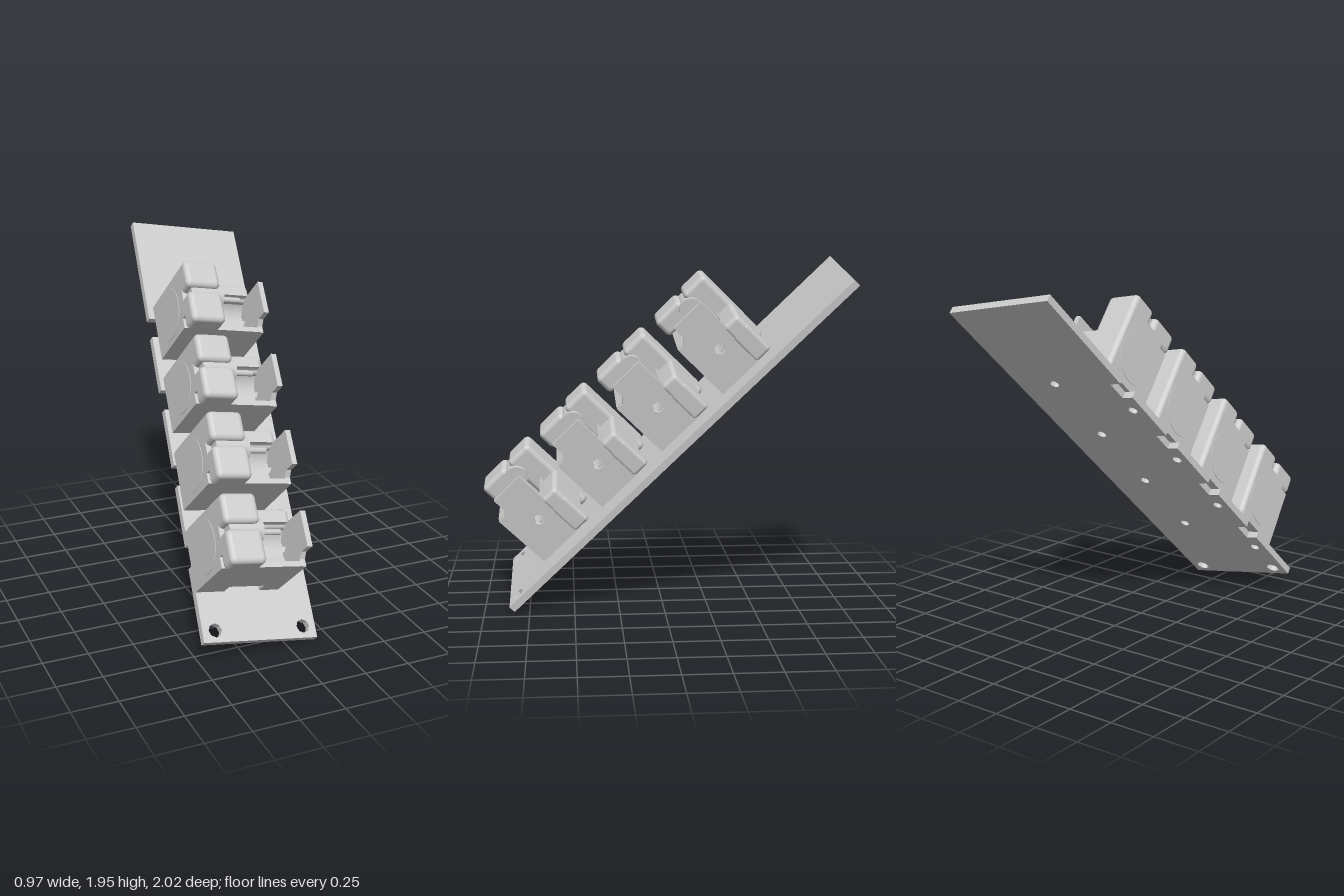
import * as THREE from 'three';
import { RoundedBoxGeometry } from 'three/addons/geometries/RoundedBoxGeometry.js';
import { toCreasedNormals } from 'three/addons/utils/BufferGeometryUtils.js';

const grey = new THREE.MeshStandardMaterial({ color: 0xcccccc });
const WIDTH = 0.664, LENGTH = 2.6, THICK = 0.04, PITCH = 0.465, COUNT = 4, DRIFT = 0.012;

// Local axes: x across the plate, y along it, z out of its face.
function add(parent, name, geometry) {
  const mesh = new THREE.Mesh(geometry, grey);
  mesh.name = name;
  parent.add(mesh);
  return mesh;
}

function roundedBlock(parent, name, [x0, x1], [y0, y1], [z0, z1], r) {
  const g = new RoundedBoxGeometry(x1 - x0, y1 - y0, z1 - z0, 3, r);
  g.translate((x0 + x1) / 2, (y0 + y1) / 2, (z0 + z1) / 2);
  return add(parent, name, g);
}

// Extrudes a (y, z) profile across x.
const acrossX = new THREE.Matrix4().makeBasis(
  new THREE.Vector3(0, 1, 0), new THREE.Vector3(0, 0, 1), new THREE.Vector3(1, 0, 0));
function slab(parent, name, shape, x0, x1) {
  let g = new THREE.ExtrudeGeometry(shape, { depth: x1 - x0, bevelEnabled: false, curveSegments: 16 });
  g = toCreasedNormals(g, 0.6);
  g.applyMatrix4(acrossX).translate(x0, 0, 0);
  return add(parent, name, g);
}

// Cylinder lying across x.
function rod(parent, name, r, x0, x1, y, z, sides) {
  const g = new THREE.CylinderGeometry(r, r, x1 - x0, sides);
  g.rotateZ(Math.PI / 2).translate((x0 + x1) / 2, y, z);
  return add(parent, name, g);
}

function hole(shape, x, y, r, sides = 8) {
  const path = new THREE.Path();
  for (let i = 0; i <= sides; i++) {
    const a = -i / sides * 2 * Math.PI;
    const px = x + r * Math.cos(a), py = y + r * Math.sin(a);
    if (i) path.lineTo(px, py); else path.moveTo(px, py);
  }
  shape.holes.push(path);
}

function polygon(points) {
  return new THREE.Shape(points.map(([x, y]) => new THREE.Vector2(x, y)));
}

// Body section with a round pocket; the floor can be raised for the tunnel.
function cradleProfile(floor) {
  const s = new THREE.Shape();
  s.moveTo(0.02, floor);
  s.lineTo(0.38, floor);
  s.lineTo(0.38, 0.24);
  s.lineTo(0.29, 0.24);
  s.lineTo(0.29, 0.3);
  s.absarc(0.17, 0.3, 0.12, 0, Math.PI, true);
  s.lineTo(0.05, 0.355);
  s.lineTo(0.02, 0.355);
  return s;
}

function createPlate() {
  const pts = [[0, 0], [WIDTH, 0], [WIDTH, LENGTH], [0, LENGTH]];
  for (let i = COUNT - 1; i >= 0; i--) {
    const y = 0.42 + i * PITCH;
    pts.push([0, y + 0.12], [0.065, y + 0.12], [0.065, y], [0, y]);
  }
  const s = polygon(pts);
  hole(s, 0.075, 0.065, 0.038);
  hole(s, 0.59, 0.065, 0.038);
  for (let i = 0; i < COUNT; i++) {
    hole(s, 0.07, 0.31 + i * PITCH, 0.027);
    hole(s, 0.42, 0.575 + i * PITCH, 0.027);
  }
  const g = new THREE.ExtrudeGeometry(s, { depth: THICK, bevelEnabled: false });
  return g.translate(0, 0, -THICK);
}

function createUnit() {
  const unit = new THREE.Group();
  unit.name = 'rollerUnit';

  // Cradle in three strips, leaving a tunnel under the middle
  slab(unit, 'cradleInner', cradleProfile(0), 0.1, 0.165);
  slab(unit, 'cradleMiddle', cradleProfile(0.07), 0.165, 0.37);
  slab(unit, 'cradleOuter', cradleProfile(0), 0.37, 0.46);
  roundedBlock(unit, 'crossBar', [0.05, 0.49], [0.27, 0.38], [0.06, 0.27], 0.025);
  roundedBlock(unit, 'crossBarFoot', [0.37, 0.49], [0.27, 0.38], [0, 0.2], 0.02);

  // Tall housing with a split top
  const housing = polygon([[0.02, 0], [0.36, 0], [0.36, 0.4], [0.08, 0.4], [0.08, 0.355], [0.02, 0.355]]);
  slab(unit, 'housing', housing, 0, 0.165);
  roundedBlock(unit, 'housingBack', [0, 0.2], [0.215, 0.38], [0, 0.49], 0.028);
  roundedBlock(unit, 'housingFrontCap', [0, 0.2], [0, 0.185], [0.365, 0.485], 0.028);
  rod(unit, 'housingDisc', 0.15, -0.003, 0.02, 0.2, 0.19, 32);

  // Wheel and axle
  rod(unit, 'wheel', 0.065, 0.03, 0.225, 0.2, 0.4, 28);
  rod(unit, 'axle', 0.016, 0.2, 0.35, 0.2, 0.385, 12);

  // Stepped side plate with a screw hole
  const side = polygon([[0.02, 0], [0.29, 0], [0.29, 0.455], [0.09, 0.455], [0.09, 0.38], [0.06, 0.35], [0.02, 0.35]]);
  hole(side, 0.185, 0.197, 0.032, 6);
  slab(unit, 'sidePlate', side, 0.455, 0.485);
  return unit;
}

export function createModel() {
  const model = new THREE.Group();
  model.name = 'rollerStrip';
  const strip = new THREE.Group();
  strip.name = 'tiltedStrip';
  add(strip, 'basePlate', createPlate());

  for (let i = 0; i < COUNT; i++) {
    const unit = createUnit();
    unit.position.set(i * DRIFT, 0.255 + i * PITCH, 0);
    strip.add(unit);
  }

  // Tilt the strip back and a little sideways
  const across = new THREE.Vector3(0.986, -0.166, 0).normalize();
  const along = new THREE.Vector3(0.1185, 0.698, -0.706);
  along.addScaledVector(across, -along.dot(across)).normalize();
  const out = new THREE.Vector3().crossVectors(across, along);
  strip.quaternion.setFromRotationMatrix(new THREE.Matrix4().makeBasis(across, along, out));
  strip.position.set(-0.487, 0.14, 0.862);
  model.add(strip);
  return model;
}
